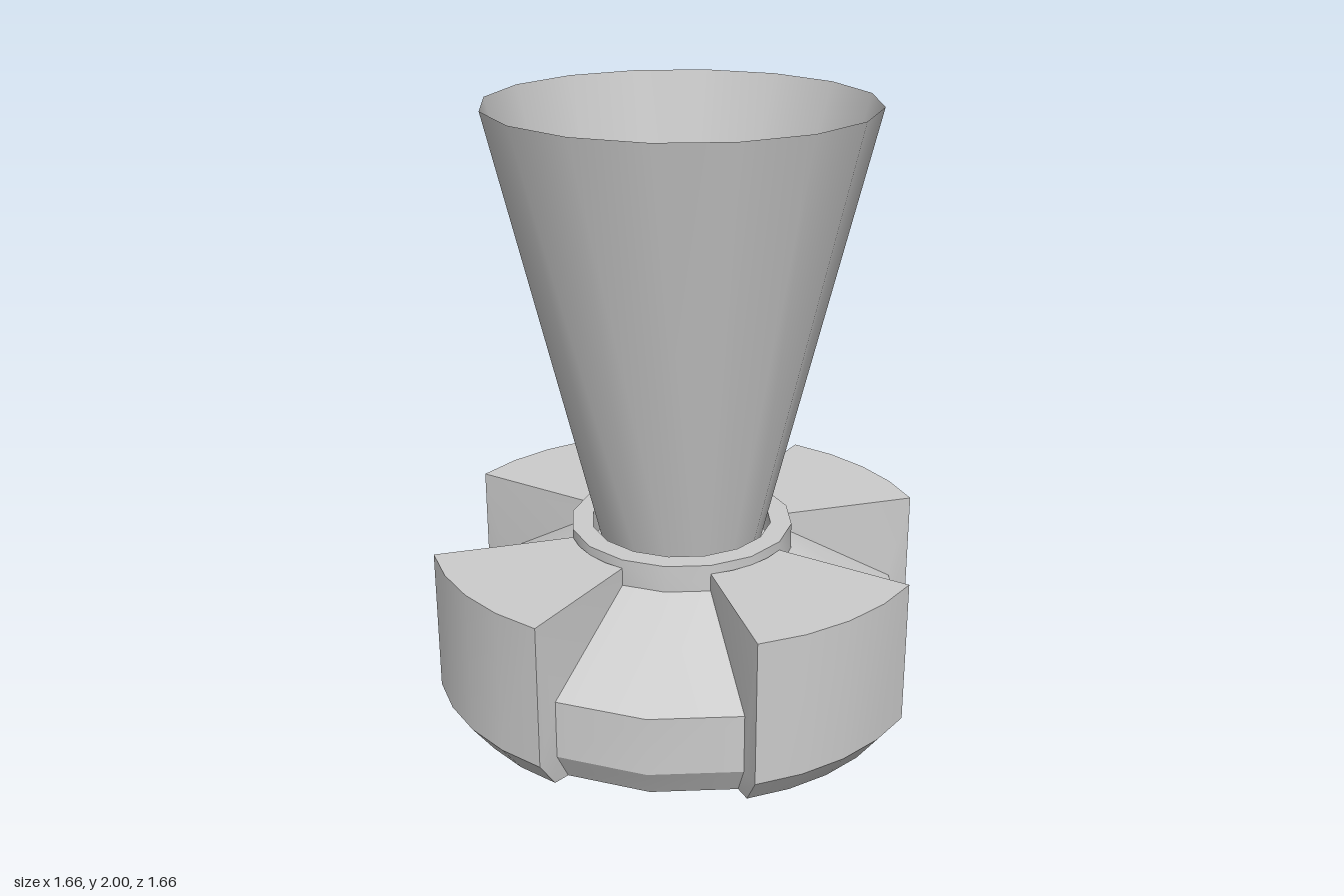
import * as THREE from 'three';
import { toCreasedNormals } from 'three/addons/utils/BufferGeometryUtils.js';

const material = new THREE.MeshStandardMaterial({ color: 0xcccccc, side: THREE.DoubleSide });
const STEP = 22.5; // the body is 16-sided

// Point at radius r, height y, and an angle in degrees measured from the front
function polar(r, y, degrees) {
  const a = THREE.MathUtils.degToRad(degrees);
  return [r * Math.sin(a), y, r * Math.cos(a)];
}

// Sheet of quads through rows of points, rows running upward
function sheet(rows) {
  const columns = rows[0].length;
  const index = [];
  for (let i = 0; i < rows.length - 1; i++) {
    for (let j = 0; j < columns - 1; j++) {
      const a = i * columns + j, b = a + 1, d = a + columns, c = d + 1;
      index.push(a, b, c, a, c, d);
    }
  }
  const geometry = new THREE.BufferGeometry();
  geometry.setAttribute('position', new THREE.Float32BufferAttribute(rows.flat(2), 3));
  geometry.setIndex(index);
  return toCreasedNormals(geometry, 0.48);
}

function turned(profile) {
  const points = profile.map(([r, y]) => new THREE.Vector2(r, y));
  return toCreasedNormals(new THREE.LatheGeometry(points, 16), 0.48);
}

// Profiles as [radius, height]; blocks also give their half angle
const shellProfile = [[0.7, 0], [0.757, 0.1], [0.757, 0.295], [0.37, 0.52]];
const blockProfile = [[0.755, 0, 21.6], [0.83, 0.1, 21.6], [0.83, 0.58, 21.6], [0.37, 0.58, STEP]];

export function createModel() {
  const group = new THREE.Group();
  const add = (name, geometry, turn = 0) => {
    const mesh = new THREE.Mesh(geometry, material);
    mesh.name = name;
    mesh.rotation.y = turn;
    group.add(mesh);
  };

  // Sloped shell panel between two blocks
  const panel = sheet(shellProfile.map(([r, y]) => [1, 2, 3].map((k) => polar(r, y, k * STEP))));

  // Hollow raised block, its side walls running back to the shell
  const block = sheet(blockProfile.map(([r, y, half], i) => {
    const [shellR, shellY] = shellProfile[i];
    return [
      polar(shellR, shellY, -STEP),
      ...[-1, -0.5, 0, 0.5, 1].map((t) => polar(r, y, t * half)),
      polar(shellR, shellY, STEP),
    ];
  }));

  for (let i = 0; i < 4; i++) {
    add('shellPanel', panel, i * Math.PI / 2);
    add('block', block, i * Math.PI / 2);
  }

  // Collar with a narrow groove around the funnel, closed by a floor
  add('collar', turned([[0.37, 0.52], [0.37, 0.61], [0.3, 0.61], [0.3, 0.52], [0, 0.52]]));

  // Thin open funnel
  add('funnel', turned([[0.26, 0.52], [0.617, 2]]));

  return group;
}
